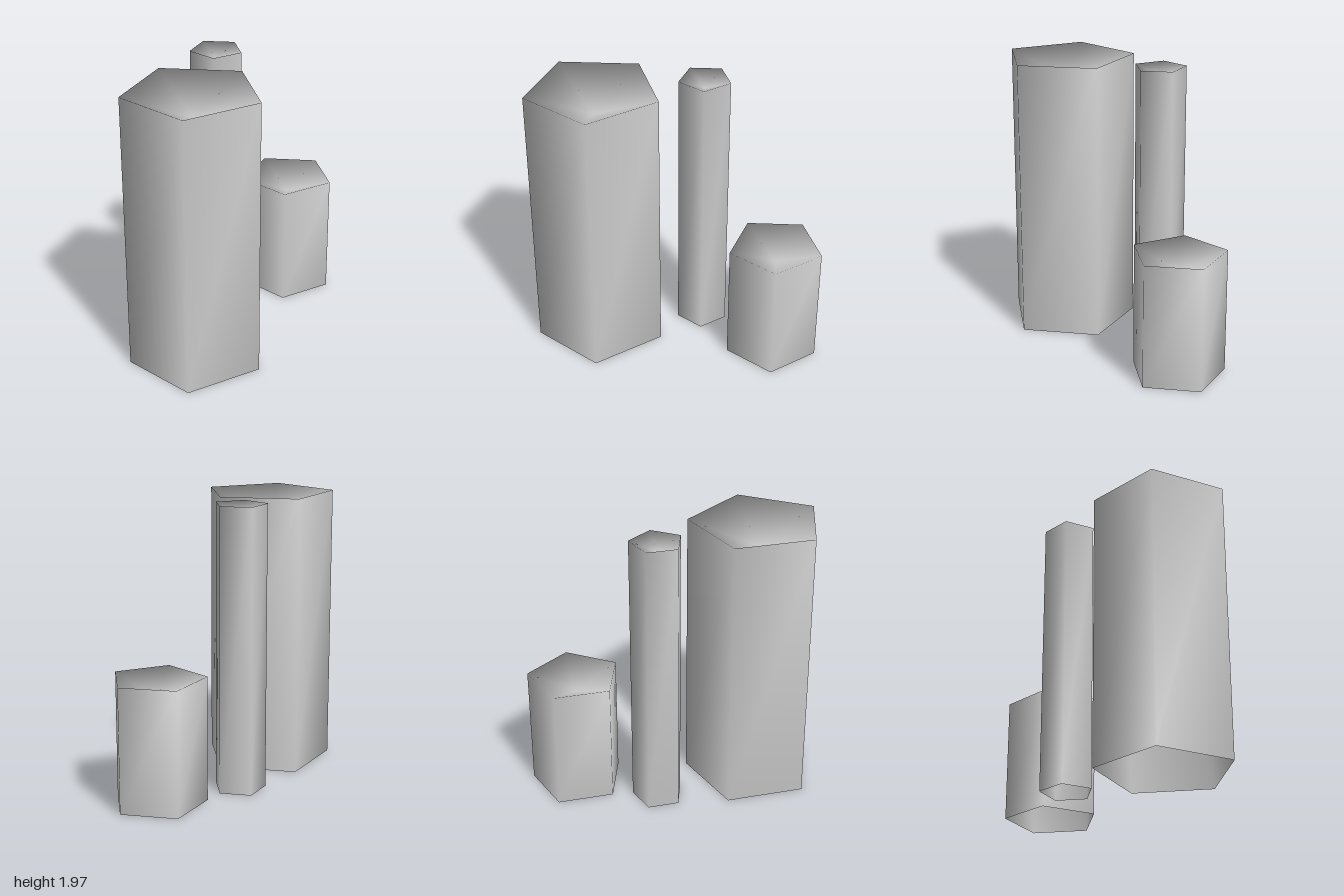
import * as THREE from 'three';

const SIDES = 5;
const material = new THREE.MeshStandardMaterial({ color: 0xcccccc, side: THREE.DoubleSide });

// Five-sided column, open underneath, one corner pointing to +x.
// The top sinks to a point; corners are shared so the shading is smooth.
function column(name, radius, height, x, z) {
  const positions = [];
  const indices = [];
  const apex = SIDES * 2;

  for (const y of [0, height]) {
    for (let i = 0; i < SIDES; i++) {
      const a = (i / SIDES) * Math.PI * 2;
      positions.push(radius * Math.cos(a), y, radius * Math.sin(a));
    }
  }
  positions.push(0, height - radius * 0.4, 0);

  for (let i = 0; i < SIDES; i++) {
    const j = (i + 1) % SIDES;
    indices.push(i, i + SIDES, j, j, i + SIDES, j + SIDES); // wall
    indices.push(apex, j + SIDES, i + SIDES); // sunken top
  }

  const geometry = new THREE.BufferGeometry();
  geometry.setAttribute('position', new THREE.Float32BufferAttribute(positions, 3));
  geometry.setIndex(indices);
  geometry.computeVertexNormals();

  const mesh = new THREE.Mesh(geometry, material);
  mesh.name = name;
  mesh.position.set(x, 0, z);
  return mesh;
}

export function createModel() {
  const model = new THREE.Group();
  model.name = 'pentagonalColumns';
  model.add(
    column('wideTallColumn', 0.466, 1.958, -0.062, 0.556),
    column('slenderColumn', 0.183, 1.968, -0.232, -0.174),
    column('shortColumn', 0.33, 0.863, 0.103, -0.686),
  );
  return model;
}
